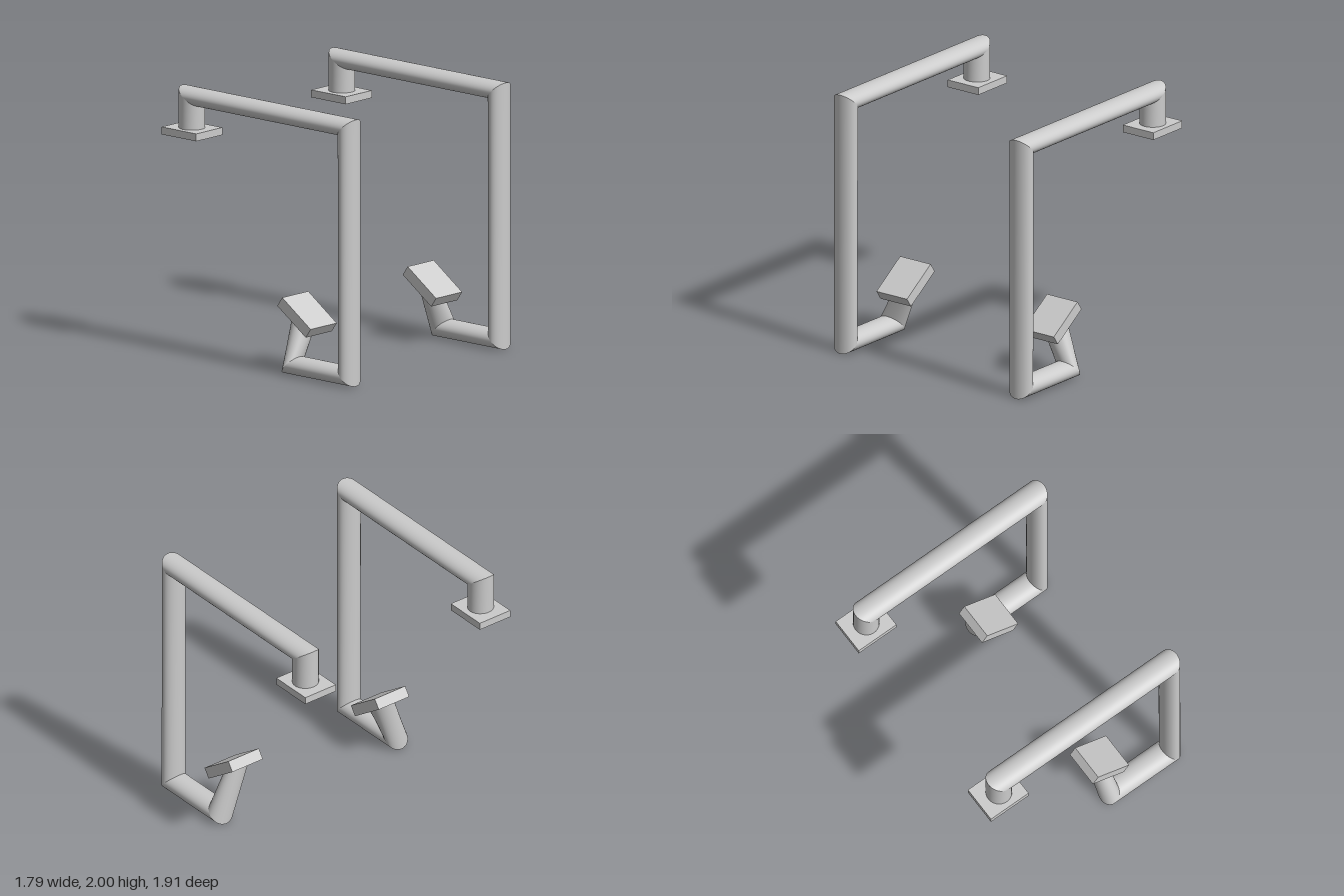
import * as THREE from 'three';

const SIDES = 40;
const RADIUS = 0.098;
const BAR_Z = 0.817;
const PAD_Z = 0.683;

// Each ring: outer point (x, y), inner point (x, y), distance from the centre plane
const RINGS = [
  [-0.822, 1.69, -0.63, 1.69, BAR_Z],
  [-0.822, 2.0, -0.63, 1.865, BAR_Z],
  [0.89, 2.0, 0.755, 1.865, BAR_Z],
  [0.89, 0.0, 0.76, 0.14, BAR_Z],
  [0.202, 0.0, 0.34, 0.14, BAR_Z],
  [0.187, 0.447, 0.34, 0.342, PAD_Z],
];
const SEGMENTS = ['upperStub', 'topBar', 'uprightBar', 'bottomBar', 'leaningStub'];

function ringPoints([ox, oy, ix, iy, z], side) {
  const points = [];
  for (let i = 0; i < SIDES; i++) {
    const t = (i / SIDES) * Math.PI * 2;
    const k = (1 + Math.cos(t)) / 2;
    points.push(ox + (ix - ox) * k, oy + (iy - oy) * k, side * z + RADIUS * Math.sin(t));
  }
  return points;
}

// Smooth bar between two mitre rings; separate bars keep the mitres crisp
function barGeometry(start, end, side) {
  const index = [];
  for (let i = 0; i < SIDES; i++) {
    const j = (i + 1) % SIDES;
    index.push(i, i + SIDES, j, j, i + SIDES, j + SIDES);
  }
  const geometry = new THREE.BufferGeometry();
  const positions = [...ringPoints(start, side), ...ringPoints(end, side)];
  geometry.setAttribute('position', new THREE.Float32BufferAttribute(positions, 3));
  geometry.setIndex(index);
  geometry.computeVertexNormals();
  return geometry;
}

export function createModel() {
  const model = new THREE.Group();
  model.name = 'pairOfHandles';
  const material = new THREE.MeshStandardMaterial({ color: 0xcccccc });

  function add(group, name, geometry) {
    const mesh = new THREE.Mesh(geometry, material);
    mesh.name = name;
    group.add(mesh);
    return mesh;
  }

  for (const side of [1, -1]) {
    const frame = new THREE.Group();
    frame.name = side > 0 ? 'frontFrame' : 'backFrame';
    model.add(frame);

    // Bent tube
    SEGMENTS.forEach((name, i) => add(frame, name, barGeometry(RINGS[i], RINGS[i + 1], side)));

    // Flat mounting plate under the upper stub
    const upperPlate = add(frame, 'upperPlate', new THREE.BoxGeometry(0.342, 0.056, 0.284));
    upperPlate.position.set(-0.729, 1.667, side * 0.814);

    // Tilted plate on the leaning stub
    const tiltedPlate = add(frame, 'tiltedPlate', new THREE.BoxGeometry(0.342, 0.084, 0.284));
    tiltedPlate.position.set(0.287, 0.425, side * PAD_Z);
    tiltedPlate.rotation.z = -0.61;
  }
  return model;
}
